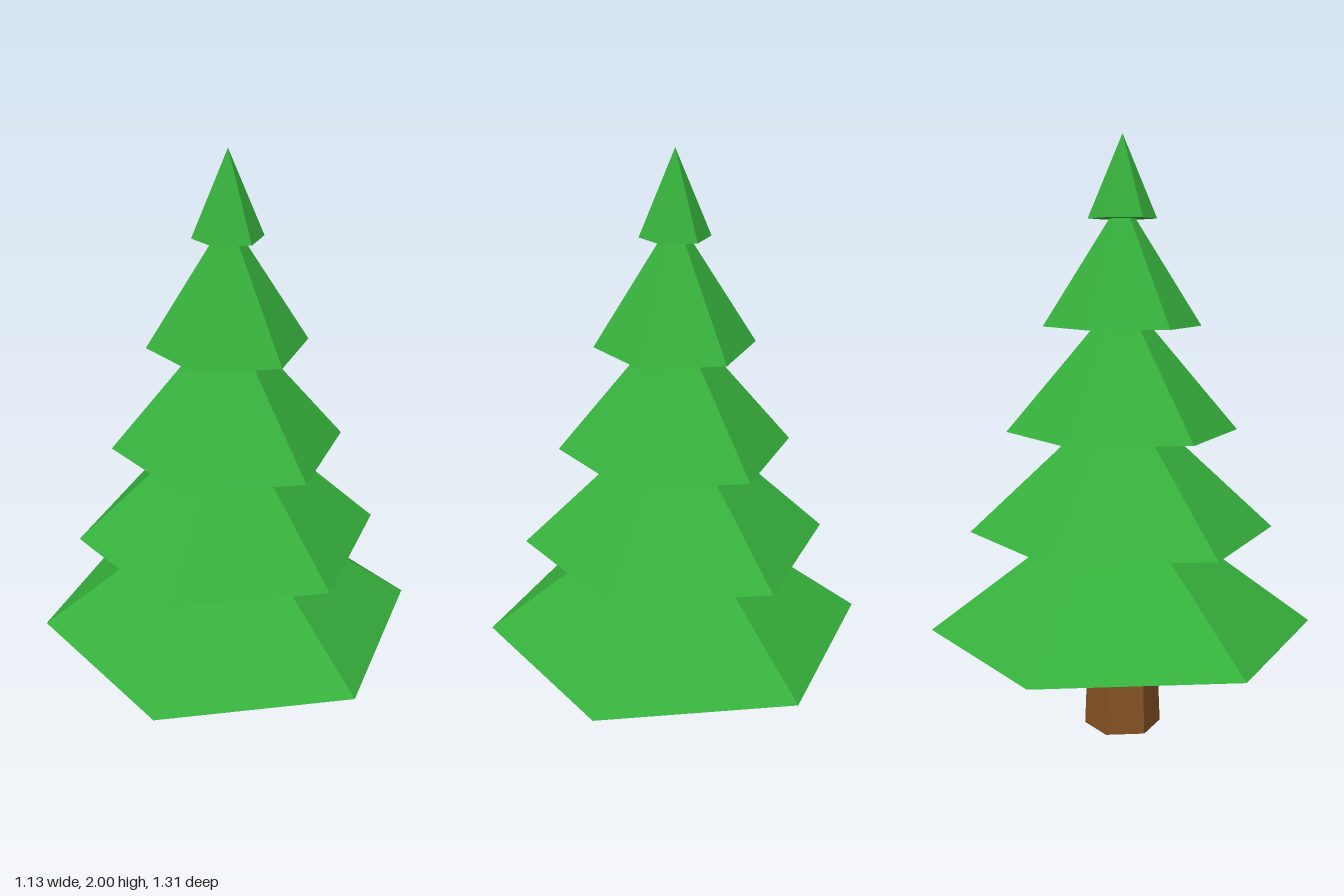
import * as THREE from 'three';

const SIDES = 6;

// Each tier: height of its skirt, skirt radius, radius where it meets the next tier
const TIERS = [
  { y: 0.35, skirt: 0.653, neck: 0.197 },
  { y: 0.69, skirt: 0.515, neck: 0.152 },
  { y: 1.03, skirt: 0.389, neck: 0.094 },
  { y: 1.38, skirt: 0.264, neck: 0.043 },
  { y: 1.73, skirt: 0.114, neck: 0 },
];
const TOP = 2;

function createFoliage() {
  // Small socket around the trunk, then skirt and neck of every tier up to the tip
  const profile = [new THREE.Vector2(0.11, 0.44), new THREE.Vector2(0.14, 0.35)];
  TIERS.forEach(({ y, skirt, neck }, i) => {
    const nextY = i + 1 < TIERS.length ? TIERS[i + 1].y : TOP;
    profile.push(new THREE.Vector2(skirt, y), new THREE.Vector2(neck, nextY));
  });
  const material = new THREE.MeshStandardMaterial({ color: 0x36b03c, flatShading: true });
  const foliage = new THREE.Mesh(new THREE.LatheGeometry(profile, SIDES), material);
  foliage.name = 'foliage';
  return foliage;
}

function createTrunk() {
  // Slightly tapered post reaching up into the lowest tier
  const height = 0.46;
  const material = new THREE.MeshStandardMaterial({ color: 0x855224, flatShading: true });
  const trunk = new THREE.Mesh(new THREE.CylinderGeometry(0.112, 0.131, height, SIDES), material);
  trunk.position.y = height / 2;
  trunk.name = 'trunk';
  return trunk;
}

export function createModel() {
  const tree = new THREE.Group();
  tree.name = 'tree';
  tree.add(createTrunk(), createFoliage());
  return tree;
}
